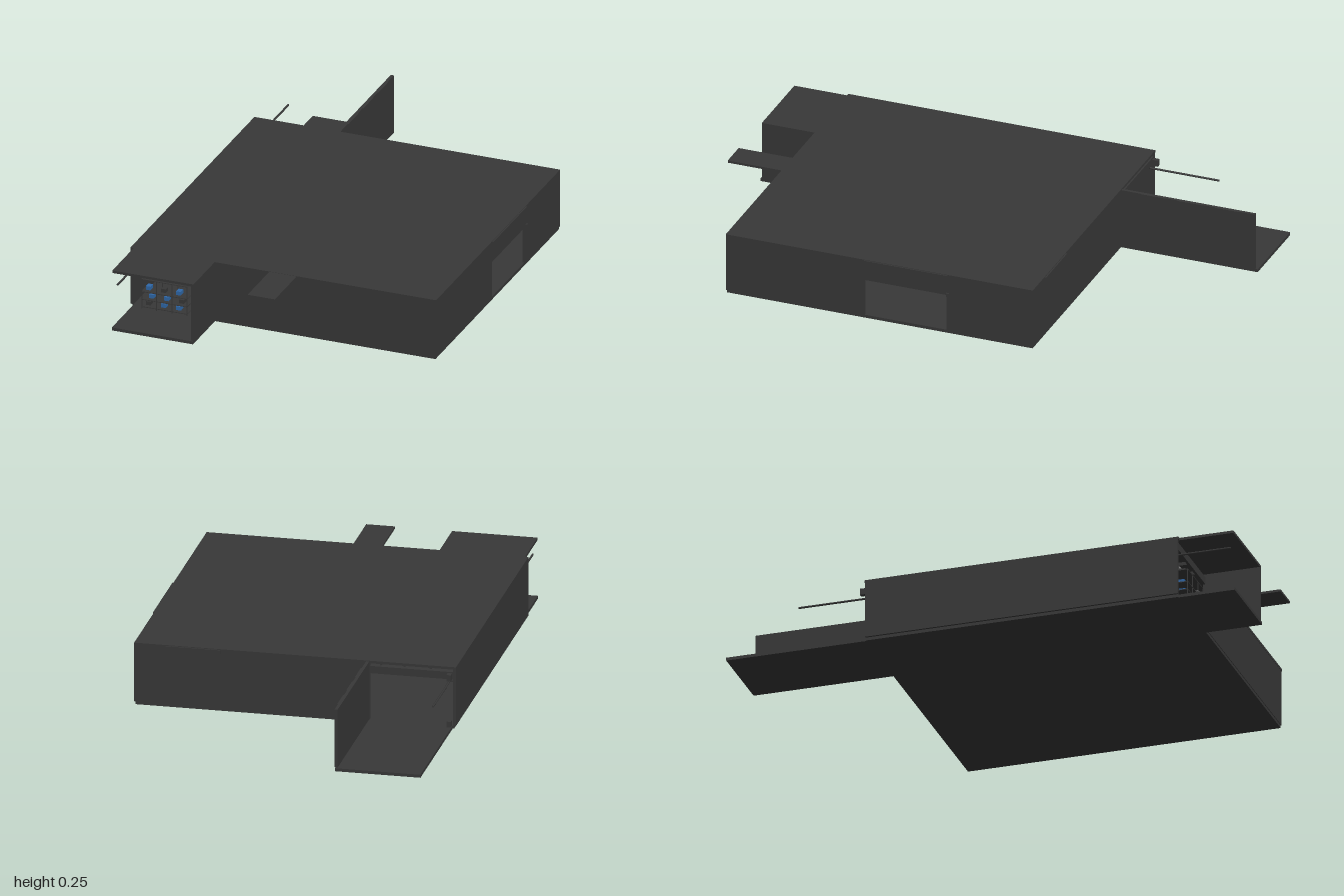
import * as THREE from 'three';

export function createModel() {
  const model = new THREE.Group();
  const charcoal = new THREE.MeshStandardMaterial({ color: 0x383838 });
  charcoal.name = 'charcoal';
  const blue = new THREE.MeshStandardMaterial({ color: 0x2f68a8 });
  blue.name = 'blue';
  const grey = new THREE.MeshStandardMaterial({ color: 0x8c8c8c });
  grey.name = 'light grey';

  // Box given by its lower and upper limits on each axis
  function box(name, x0, x1, y0, y1, z0, z1, mat = charcoal, parent = model) {
    const mesh = new THREE.Mesh(new THREE.BoxGeometry(x1 - x0, y1 - y0, z1 - z0), mat);
    mesh.position.set((x0 + x1) / 2, (y0 + y1) / 2, (z0 + z1) / 2);
    mesh.name = name;
    parent.add(mesh);
    return mesh;
  }
  function group(name) {
    const g = new THREE.Group();
    g.name = name;
    model.add(g);
    return g;
  }

  // Floor slabs
  box('mainFloor', -0.612, 0.608, 0, 0.012, -0.45, 0.78);
  box('rearPassageFloor', -0.607, -0.28, 0, 0.012, -1, -0.45);
  box('frontPassageFloor', -0.607, -0.28, 0, 0.012, 0.78, 1);

  // Roofs and entrance canopy
  box('mainRoof', -0.62, 0.612, 0.235, 0.245, -0.452, 0.783);
  box('frontPassageRoof', -0.607, -0.28, 0.235, 0.245, 0.783, 0.995);
  box('entranceCanopy', -0.06, 0.05, 0.235, 0.244, 0.783, 1);

  // Outer walls
  box('rightWall', -0.62, -0.608, 0.012, 0.235, -0.45, 0.78);
  box('frontWall', -0.29, 0.612, 0.012, 0.235, 0.77, 0.782);
  box('rearWall', -0.29, 0.612, 0.012, 0.235, -0.452, -0.44);
  box('frontPassageWall', -0.29, -0.28, 0.012, 0.235, 0.782, 0.995);
  box('rearPassageWall', -0.288, -0.276, 0.012, 0.242, -0.99, -0.452);
  for (const z of [-0.445, 0.775]) {
    box('passageLintel', -0.608, -0.29, 0.195, 0.224, z - 0.005, z + 0.005);
  }

  // Left wall around the loading door
  box('leftWallRear', 0.6, 0.612, 0.012, 0.235, -0.44, -0.105);
  box('leftWallFront', 0.6, 0.612, 0.012, 0.235, 0.225, 0.77);
  box('leftWallAboveDoor', 0.6, 0.612, 0.16, 0.235, -0.105, 0.225);
  box('doorHeadTrim', 0.612, 0.617, 0.235, 0.243, -0.11, 0.225);
  box('doorLamp', 0.612, 0.619, 0.155, 0.17, -0.115, -0.105);

  // Shallow trims on the outside walls
  box('rearWallTrim', 0.28, 0.49, 0.228, 0.242, -0.457, -0.452);
  for (const z of [-0.88, -0.73, -0.58]) {
    box('passageWallTrim', -0.276, -0.273, 0.19, 0.242, z - 0.05, z + 0.05);
  }

  // Ceiling beams
  const beams = group('ceilingBeams');
  for (let i = 0; i < 7; i++) {
    const z = -0.38 + i * 0.18;
    box('crossBeam', -0.6, 0.6, 0.226, 0.235, z, z + 0.012, grey, beams);
  }
  for (const x of [-0.52, -0.42, -0.33]) {
    box('longBeam', x, x + 0.006, 0.222, 0.235, -0.43, 0.76, charcoal, beams);
  }

  // Long pipe running past both ends of the right wall
  const pipe = new THREE.Mesh(new THREE.CylinderGeometry(0.004, 0.004, 1.7, 8), charcoal);
  pipe.rotation.x = Math.PI / 2;
  pipe.position.set(-0.592, 0.182, 0.13);
  pipe.name = 'wallPipe';
  model.add(pipe);
  for (let i = 0; i < 6; i++) {
    const z = -0.42 + i * 0.23;
    box('pipeBracket', -0.608, -0.588, 0.174, 0.18, z, z + 0.01);
  }
  box('controlBox', -0.605, -0.588, 0.195, 0.22, -0.475, -0.452);
  box('floorBox', -0.605, -0.588, 0.012, 0.035, -0.475, -0.452);

  // Storage rack with boxes
  const rack = group('storageRack');
  const posts = [-0.568, -0.508, -0.446, -0.386];
  const levels = [0.018, 0.048, 0.08, 0.13];
  for (const x of posts) {
    for (const z of [0.74, 0.8]) {
      box('rackPost', x, x + 0.003, 0.012, 0.132, z, z + 0.003, charcoal, rack);
    }
  }
  levels.forEach((y, row) => {
    box('rackShelf', -0.568, -0.383, y, y + 0.003, 0.74, 0.803, charcoal, rack);
    for (let col = 0; col < 3; col++) {
      const x = -0.557 + col * 0.061 + (row % 2) * 0.012;
      const mat = (row + col) % 3 === 0 ? charcoal : blue;
      box('storedBox', x, x + 0.019, y + 0.003, y + 0.018, 0.76, 0.785, mat, rack);
    }
  });

  // Machine with round fans along the right wall
  const machine = group('wallMachine');
  box('machineBody', -0.6, -0.575, 0.012, 0.065, -0.05, 0.23, charcoal, machine);
  box('machineBlock', -0.59, -0.565, 0.04, 0.07, 0.55, 0.6, charcoal, machine);
  box('machinePanel', -0.585, -0.57, 0.07, 0.12, 0.5, 0.54, blue, machine);
  box('switchPanel', -0.605, -0.59, 0.075, 0.11, -0.075, -0.045, charcoal, machine);
  for (const z of [0.035, 0.19]) {
    const fan = new THREE.Mesh(new THREE.TorusGeometry(0.015, 0.007, 8, 20), blue);
    fan.rotation.y = Math.PI / 2;
    fan.position.set(-0.573, 0.04, z);
    fan.name = 'fanRing';
    machine.add(fan);
  }
  return model;
}
